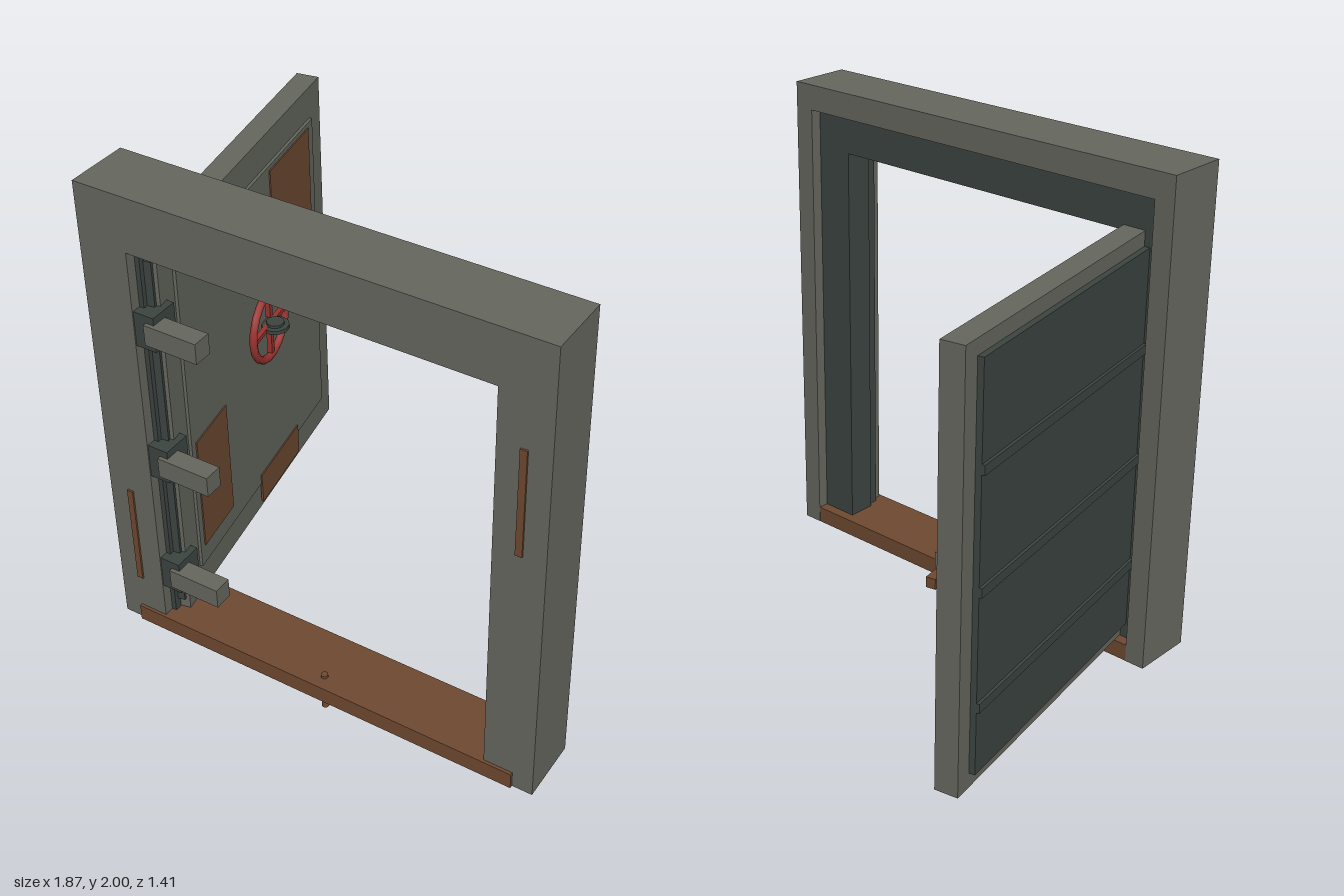
import * as THREE from 'three';

const mat = (name, color) => {
  const m = new THREE.MeshStandardMaterial({ color });
  m.name = name;
  return m;
};

export function createModel() {
  const root = new THREE.Group();
  root.name = 'blastDoor';
  const grey = mat('paintedSteel', 0x66685f);
  const dark = mat('darkSteel', 0x3d4541);
  const rust = mat('rust', 0x704a32);
  const red = mat('redPaint', 0x9a3330);

  const add = (parent, name, geo, material) => {
    const m = new THREE.Mesh(geo, material);
    m.name = name;
    parent.add(m);
    return m;
  };
  // Box given by its limits on each axis
  const box = (parent, name, material, [x0, x1], [y0, y1], [z0, z1]) => {
    const m = add(parent, name, new THREE.BoxGeometry(x1 - x0, y1 - y0, z1 - z0), material);
    m.position.set((x0 + x1) / 2, (y0 + y1) / 2, (z0 + z1) / 2);
    return m;
  };

  // Door frame: upside-down U sections stacked in depth, centred on x = CX
  const CX = 0.04, BASE = 0.085;
  const arch = (name, material, outW, outTop, inW, inTop, z0, z1) => {
    const pts = [[-outW, BASE], [-inW, BASE], [-inW, inTop], [inW, inTop],
      [inW, BASE], [outW, BASE], [outW, outTop], [-outW, outTop]];
    const shape = new THREE.Shape(pts.map(([x, y]) => new THREE.Vector2(x + CX, y)));
    const geo = new THREE.ExtrudeGeometry(shape, { depth: z1 - z0, bevelEnabled: false });
    add(root, name, geo, material).position.z = z0;
  };
  arch('frameFront', grey, 0.89, 2, 0.695, 1.785, 0.65, 0.69);
  arch('frameShell', grey, 0.89, 2, 0.81, 1.9, 0.44, 0.65);
  arch('frameStep', dark, 0.81, 1.9, 0.676, 1.766, 0.6, 0.65);
  arch('frameLiner', dark, 0.81, 1.9, 0.658, 1.746, 0.485, 0.6);

  // Sill with drop pin and jamb feet
  box(root, 'sill', rust, [-0.77, 0.85], [0.084, 0.152], [0.442, 0.702]);
  const pin = add(root, 'dropPin', new THREE.CylinderGeometry(0.014, 0.014, 0.163, 10), rust);
  pin.position.set(CX, 0.0815, 0.645);
  for (const s of [-1, 1]) {
    const c = CX + s * 0.735;
    box(root, 'jambFoot', dark, [c - 0.06, c + 0.06], [0.079, 0.088], [0.48, 0.64]);
  }

  // Rust streaks on the frame front
  box(root, 'frameStreak', rust, [0.82, 0.846], [1.16, 1.588], [0.688, 0.697]);
  box(root, 'frameStreak', rust, [-0.77, -0.745], [0.3, 0.728], [0.688, 0.697]);

  // Hinges: dark knuckle block with a projecting arm
  for (const y of [0.37, 0.907, 1.481]) {
    box(root, 'hingeBlock', dark, [-0.68, -0.572], [y - 0.07, y + 0.07], [0.57, 0.685]);
    box(root, 'hingeArm', grey, [-0.605, -0.39], [y - 0.041, y + 0.041], [0.625, 0.7]);
  }

  // Door leaf, swung open; local z runs from free edge to hinge, local +x is the inner face
  const door = new THREE.Group();
  door.name = 'door';
  door.position.set(-0.828, 0, -0.707);
  door.rotation.y = THREE.MathUtils.degToRad(10);
  root.add(door);
  const W = 1.34;
  box(door, 'doorLeaf', grey, [-0.09, 0], [0.155, 1.765], [0, W]);
  box(door, 'innerPanel', grey, [-0.01, 0.012], [0.287, 1.638], [0.098, W - 0.1]);
  box(door, 'edgeSeal', dark, [-0.065, -0.015], [0.2, 1.73], [W - 0.01, W + 0.012]);
  box(door, 'outerSheet', dark, [-0.113, -0.08], [0.213, 1.708], [0.07, W - 0.07]);
  for (const y of [0.477, 0.908, 1.338])
    box(door, 'outerRib', dark, [-0.124, -0.1], [y - 0.018, y + 0.018], [0.07, W - 0.07]);

  // Rust patches on the inner face
  box(door, 'rustPatch', rust, [0.01, 0.017], [1.232, 1.62], [0.144, 0.494]);
  box(door, 'rustPatch', rust, [0.01, 0.017], [0.373, 0.87], [0.966, 1.21]);
  box(door, 'rustPatch', rust, [0.009, 0.017], [0.193, 0.33], [0.357, 0.712]);

  // Latch on the free edge
  box(door, 'latchBase', dark, [0, 0.05], [0.865, 0.99], [0.115, 0.25]);
  box(door, 'latchCase', grey, [0.01, 0.072], [0.866, 0.98], [0.107, 0.238]);
  box(door, 'latchKeeper', dark, [0.01, 0.048], [0.895, 0.96], [0.09, 0.115]);
  box(door, 'latchBolt', rust, [0.012, 0.046], [0.908, 0.945], [0.012, 0.11]);

  // Handwheel
  const wheel = new THREE.Group();
  wheel.name = 'handwheel';
  wheel.position.set(0.035, 1.01, 0.604);
  door.add(wheel);
  const rim = add(wheel, 'wheelRim', new THREE.TorusGeometry(0.145, 0.016, 8, 18), red);
  rim.rotation.y = Math.PI / 2;
  for (const s of [-1, 1]) {
    const y = s * 0.088;
    box(wheel, 'wheelSpoke', red, [-0.01, 0.01], [y - 0.05, y + 0.05], [-0.011, 0.011]);
  }
  box(wheel, 'wheelCrossbar', red, [-0.01, 0.01], [-0.009, 0.009], [-0.14, 0.14]);
  for (const [r, h] of [[0.055, 0.016], [0.035, 0.038]]) {
    const hub = add(wheel, 'wheelHub', new THREE.CylinderGeometry(r, r, h, 10), dark);
    hub.position.x = 0.025;
  }
  return root;
}
